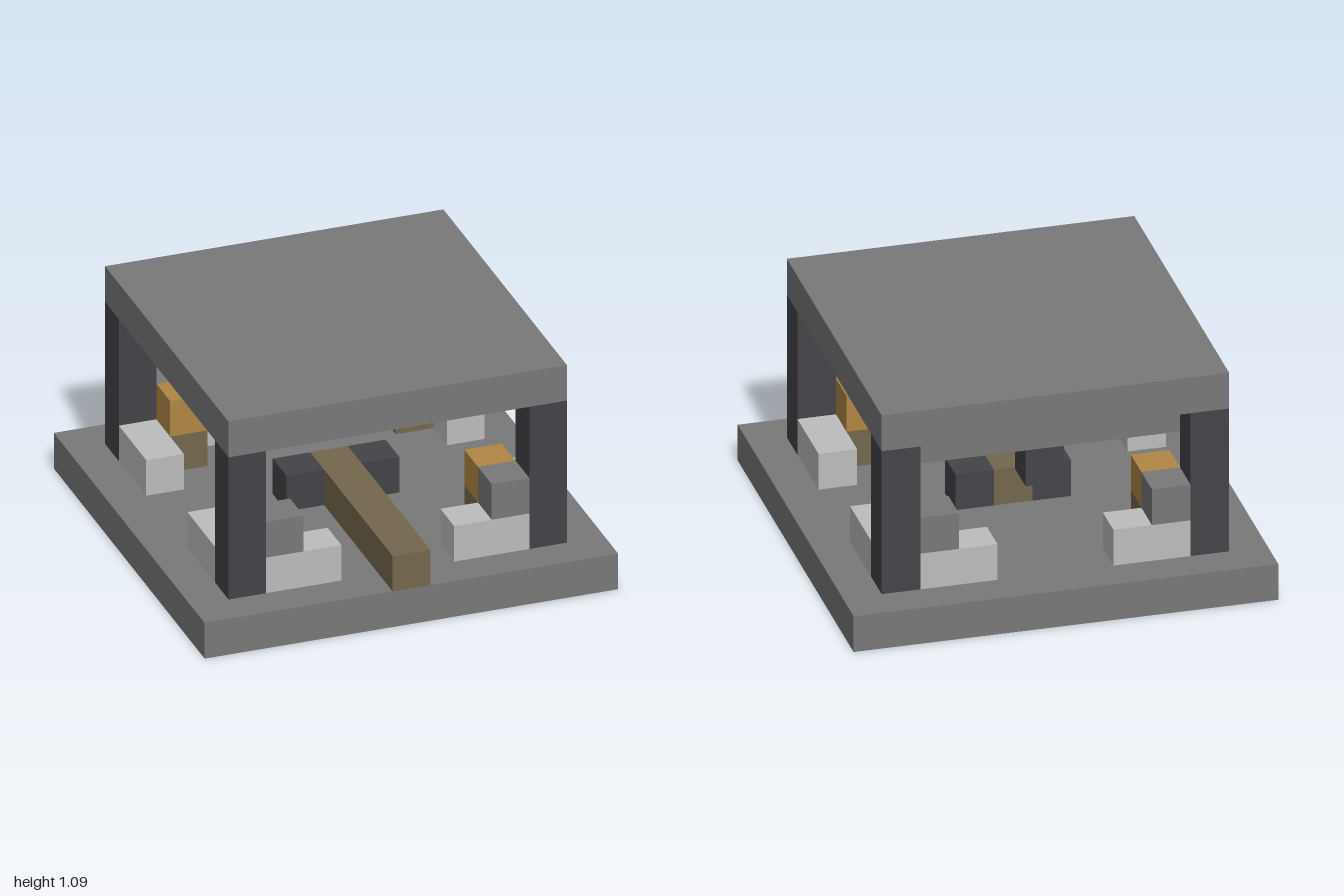
import * as THREE from 'three';

// The whole model sits on a grid of 11 x 11 cubes.
const U = 2 / 11;

const mat = (name, color) => {
  const m = new THREE.MeshStandardMaterial({ color });
  m.name = name;
  return m;
};

export function createModel() {
  const model = new THREE.Group();
  model.name = 'pavilion';

  const stone = mat('stone grey', 0x797979);
  const dark = mat('charcoal', 0x444348);
  const pale = mat('pale grey', 0xbdbdbd);
  const wood = mat('brown wood', 0x74674d);
  const gold = mat('gold', 0xb08744);

  // Block filling the cells from a to b (inclusive); x and z count from the centre.
  function block(name, material, a, b = a) {
    const size = a.map((v, i) => (Math.abs(b[i] - v) + 1) * U);
    const mesh = new THREE.Mesh(new THREE.BoxGeometry(...size), material);
    mesh.position.set(
      ((a[0] + b[0]) / 2) * U,
      ((a[1] + b[1] + 1) / 2) * U,
      ((a[2] + b[2]) / 2) * U
    );
    mesh.name = name;
    model.add(mesh);
  }

  // Floor and roof slabs
  block('floor', stone, [-5, 0, -5], [5, 0, 5]);
  block('roof', stone, [-4, 5, -4], [4, 5, 4]);

  // Corner pillars, each with low walls along both sides and a raised block
  for (const sx of [-1, 1]) {
    for (const sz of [-1, 1]) {
      block('pillar', dark, [4 * sx, 1, 4 * sz], [4 * sx, 4, 4 * sz]);
      block('lowWall', pale, [2 * sx, 1, 4 * sz], [3 * sx, 1, 4 * sz]);
      block('sideWall', pale, [4 * sx, 1, 2 * sz], [4 * sx, 1, 3 * sz]);
      block('wallBlock', stone, [3 * sx, 2, 4 * sz]);
    }
    // Dark blocks either side of the walkway end
    block('walkwayStop', dark, [sx, 1, 0]);
    // Lamps on wooden stands in opposite corners
    block('lampStand', wood, [3 * sx, 1, 3 * sx]);
    block('lamp', gold, [3 * sx, 2, 3 * sx]);
  }

  // Raised wooden walkway from the front edge to the centre
  block('walkway', wood, [0, 1, 0], [0, 1, 5]);
  block('crate', wood, [3, 1, -3]);

  // Ceiling beam with a hanging block, and the central ceiling lamp
  block('ceilingBeam', stone, [-3, 4, -3], [3, 4, -3]);
  block('hangingBlock', dark, [0, 3, -3]);
  block('ceilingLamp', gold, [0, 4, 0]);

  return model;
}
